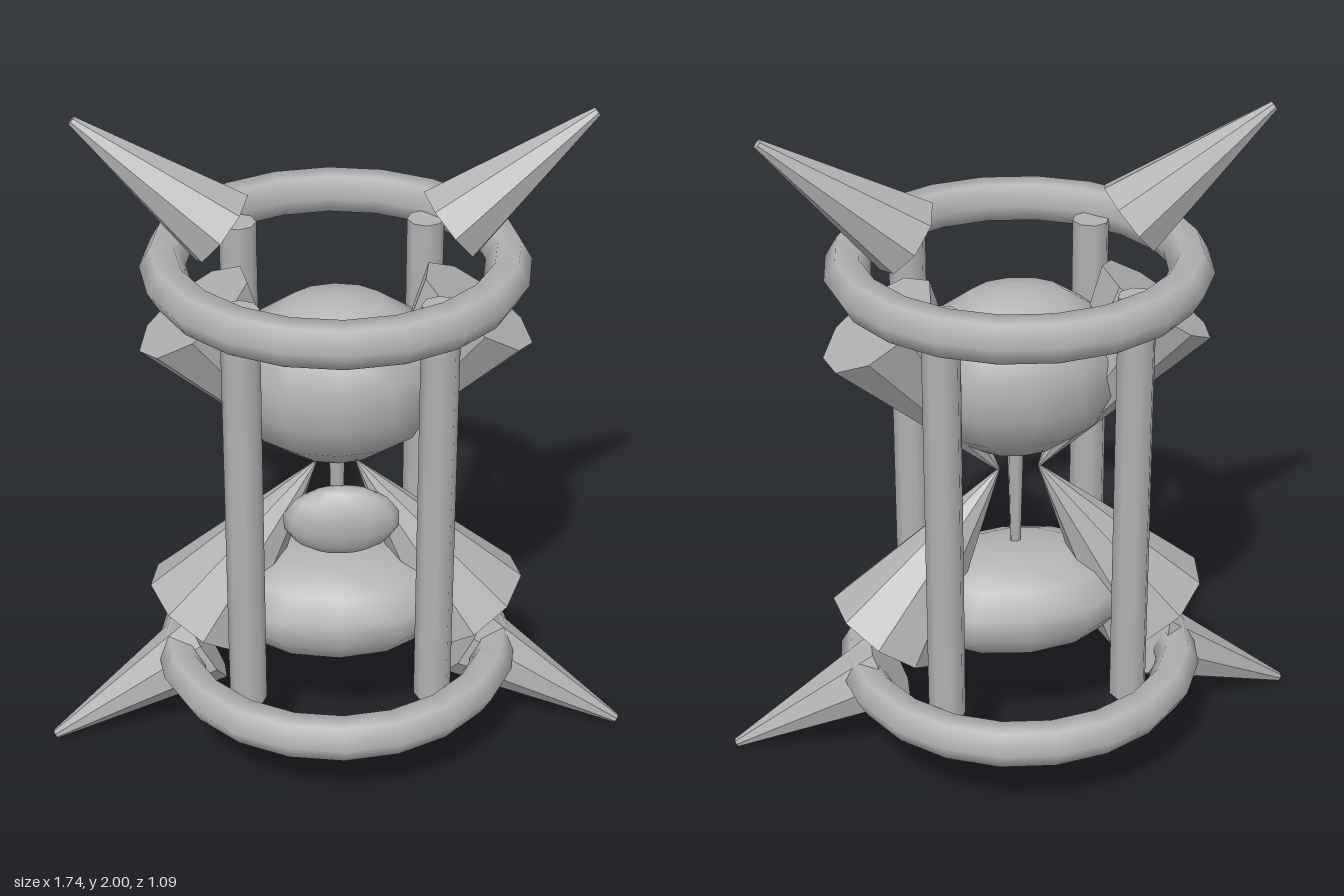
import * as THREE from 'three';

const smoothGrey = new THREE.MeshStandardMaterial({ color: 0xb2b2b2 });
smoothGrey.name = 'grey';
const UP = new THREE.Vector3(0, 1, 0);

// Facets are baked into the normals so that one material serves every part
function faceted(geometry) {
  const flat = geometry.toNonIndexed();
  flat.computeVertexNormals();
  return flat;
}

export function createModel() {
  const model = new THREE.Group();
  model.name = 'hourglass';

  function add(name, geometry, x = 0, y = 0, z = 0) {
    const mesh = new THREE.Mesh(geometry, smoothGrey);
    mesh.name = name;
    mesh.position.set(x, y, z);
    model.add(mesh);
    return mesh;
  }

  function ellipsoid(name, center, radii) {
    add(name, new THREE.SphereGeometry(1, 12, 7), ...center).scale.set(...radii);
  }

  // Faceted cone running from the centre of its base to its tip
  function cone(name, base, tip, baseRadius, tipRadius, sides) {
    const a = new THREE.Vector3(...base);
    const b = new THREE.Vector3(...tip);
    const axis = b.clone().sub(a);
    const geometry = faceted(
      new THREE.CylinderGeometry(tipRadius, baseRadius, axis.length(), sides));
    const mesh = add(name, geometry);
    mesh.position.copy(a).add(b).multiplyScalar(0.5);
    mesh.quaternion.setFromUnitVectors(UP, axis.normalize());
  }

  // Frame rings
  for (const [name, y] of [['topRing', 1.565], ['bottomRing', 0.28]]) {
    add(name, new THREE.TorusGeometry(0.48, 0.065, 6, 20), 0, y, 0).rotation.x = Math.PI / 2;
  }

  // Four pillars
  for (const x of [-0.27, 0.27]) {
    for (const z of [-0.27, 0.27]) {
      add('pillar', new THREE.CylinderGeometry(0.054, 0.054, 1.285, 8), x, 0.9225, z);
    }
  }

  // Bulbs, front knob and the thin stream between the bulbs
  ellipsoid('upperBulb', [0, 1.23, 0.033], [0.31, 0.26, 0.238]);
  ellipsoid('lowerBulb', [0, 0.485, 0.033], [0.36, 0.165, 0.252]);
  ellipsoid('frontKnob', [0, 0.93, 0.327], [0.165, 0.107, 0.06]);
  add('stream', new THREE.CylinderGeometry(0.027, 0.016, 0.42, 6), 0, 0.83, 0.05);

  for (const s of [-1, 1]) {
    // Funnel cones with their points meeting at the waist
    cone('upperFunnel', [s * 0.4, 1.42, 0], [s * 0.06, 0.92, 0], 0.188, 0.004, 9);
    cone('lowerFunnel', [s * 0.4, 0.42, 0], [s * 0.06, 0.92, 0], 0.188, 0.004, 9);
    // Horns above and claw feet below
    cone('horn', [s * 0.314, 1.677, 0], [s * 0.708, 1.988, -0.03], 0.12, 0.014, 8);
    cone('foot', [s * 0.395, 0.282, -0.005], [s * 0.862, 0.014, 0.08], 0.122, 0.014, 8);
  }

  return model;
}
